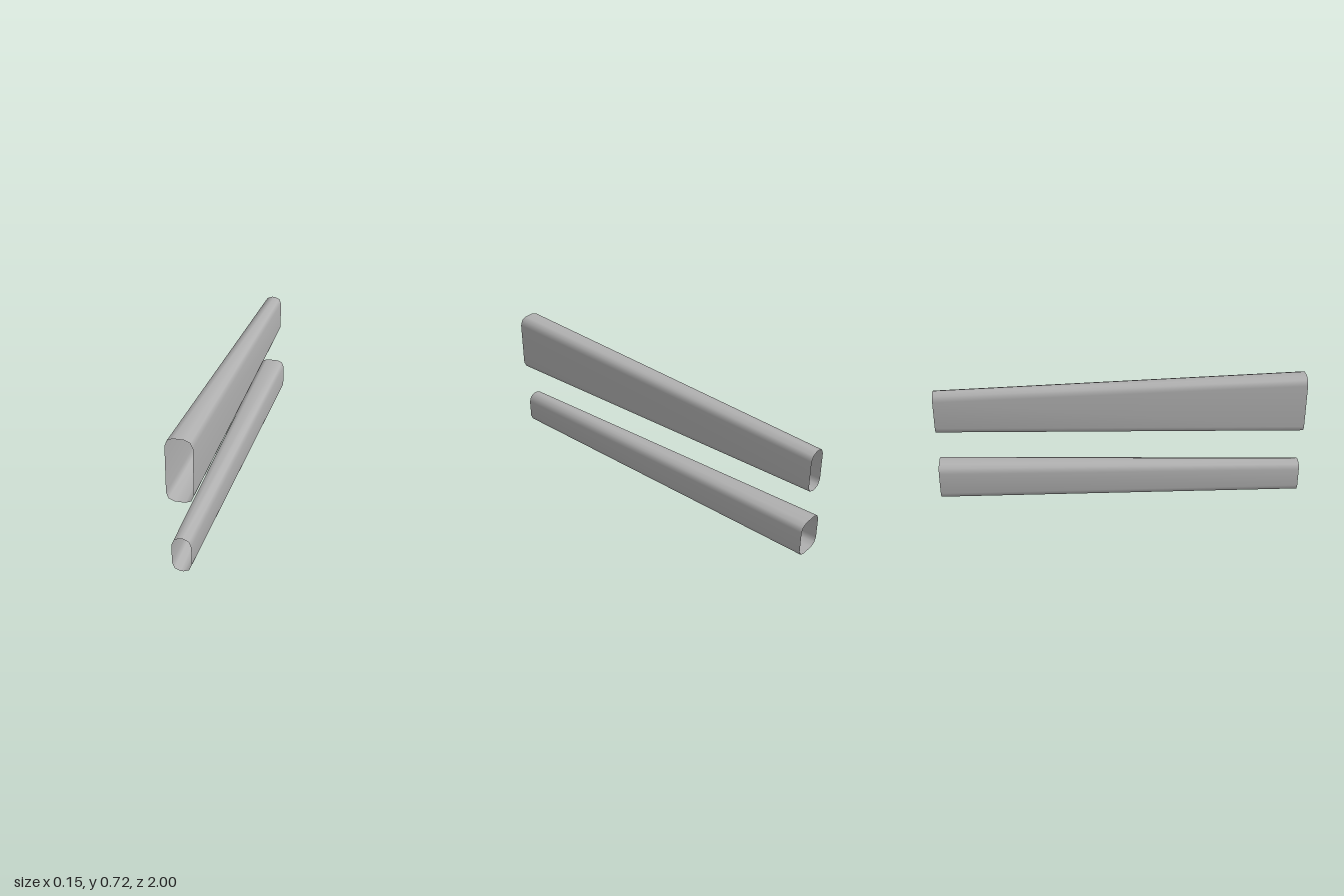
import * as THREE from 'three';

const RADIUS = 0.041; // corner radius, constant along each tube

// Rounded-rectangle section: counter-clockwise points at depth z
function section({ halfWidth, bottom, top }, z) {
  const points = [];
  const corners = [
    [1, top - RADIUS], [-1, top - RADIUS],
    [-1, bottom + RADIUS], [1, bottom + RADIUS],
  ];
  corners.forEach(([side, cy], quarter) => {
    const cx = side * (halfWidth - RADIUS);
    for (let step = 0; step <= 2; step++) {
      const angle = (quarter + step / 2) * Math.PI / 2;
      points.push(cx + RADIUS * Math.cos(angle), cy + RADIUS * Math.sin(angle), z);
    }
  });
  return points;
}

// Open tapered tube lofted between a front and a back section
function taperedTube(name, front, back, material) {
  const positions = [...section(front, 1), ...section(back, -1)];
  const count = positions.length / 6;
  const index = [];
  for (let i = 0; i < count; i++) {
    const next = (i + 1) % count;
    index.push(i, i + count, next, next, i + count, next + count);
  }
  const geometry = new THREE.BufferGeometry();
  geometry.setAttribute('position', new THREE.Float32BufferAttribute(positions, 3));
  geometry.setIndex(index);
  geometry.computeVertexNormals();
  const mesh = new THREE.Mesh(geometry, material);
  mesh.name = name;
  return mesh;
}

export function createModel() {
  const group = new THREE.Group();
  group.name = 'taperedTubes';
  const grey = new THREE.MeshStandardMaterial({ color: 0xb0b0b0, side: THREE.DoubleSide });
  grey.name = 'grey';

  // Upper tube narrows towards the back, lower tube towards the front
  group.add(
    taperedTube('upperTube',
      { halfWidth: 0.067, bottom: 0.39, top: 0.72 },
      { halfWidth: 0.049, bottom: 0.444, top: 0.682 }, grey),
    taperedTube('lowerTube',
      { halfWidth: 0.049, bottom: 0, top: 0.185 },
      { halfWidth: 0.075, bottom: 0.05, top: 0.255 }, grey),
  );
  return group;
}
